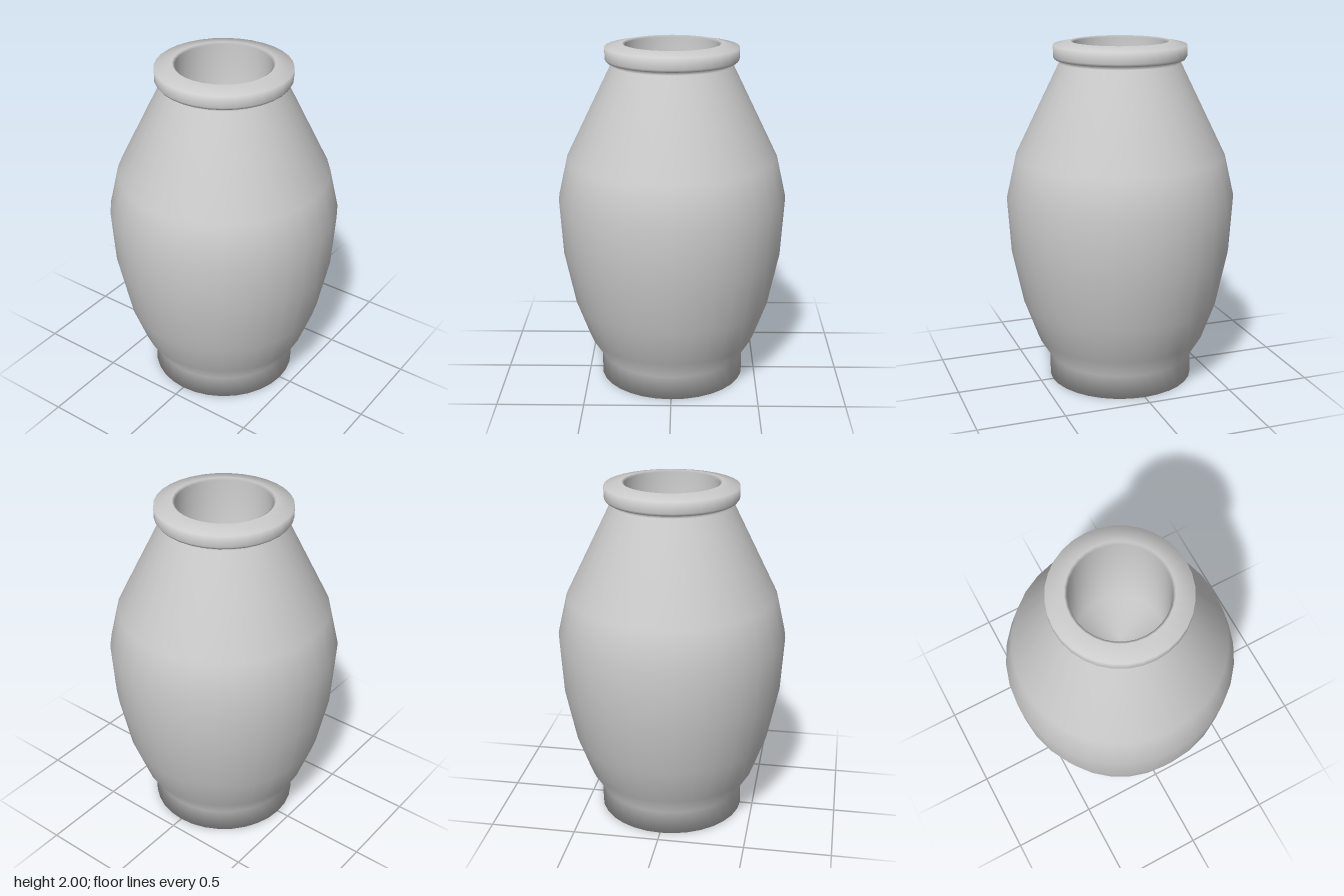
import * as THREE from 'three';

export function createModel() {
  const group = new THREE.Group();
  group.name = 'vase';
  const material = new THREE.MeshStandardMaterial({ color: 0xcccccc });

  // One continuous profile (radius, height), from the underside up and into the mouth
  const profile = [
    // foot
    [0, 0], [0.425, 0], [0.425, 0.14],
    // belly
    [0.495, 0.255], [0.575, 0.475], [0.64, 0.79], [0.66, 1.11], [0.605, 1.35],
    // shoulder and neck
    [0.345, 1.88], [0.345, 1.9],
    // rolled lip
    [0.37, 1.9], [0.38, 1.915], [0.38, 1.98], [0.28, 2.0],
    // mouth and inner floor
    [0.265, 1.99], [0.26, 1.35], [0, 1.35],
  ].map(([r, y]) => new THREE.Vector2(r, y));

  const body = new THREE.Mesh(new THREE.LatheGeometry(profile, 32), material);
  body.name = 'vaseBody';
  group.add(body);
  return group;
}
